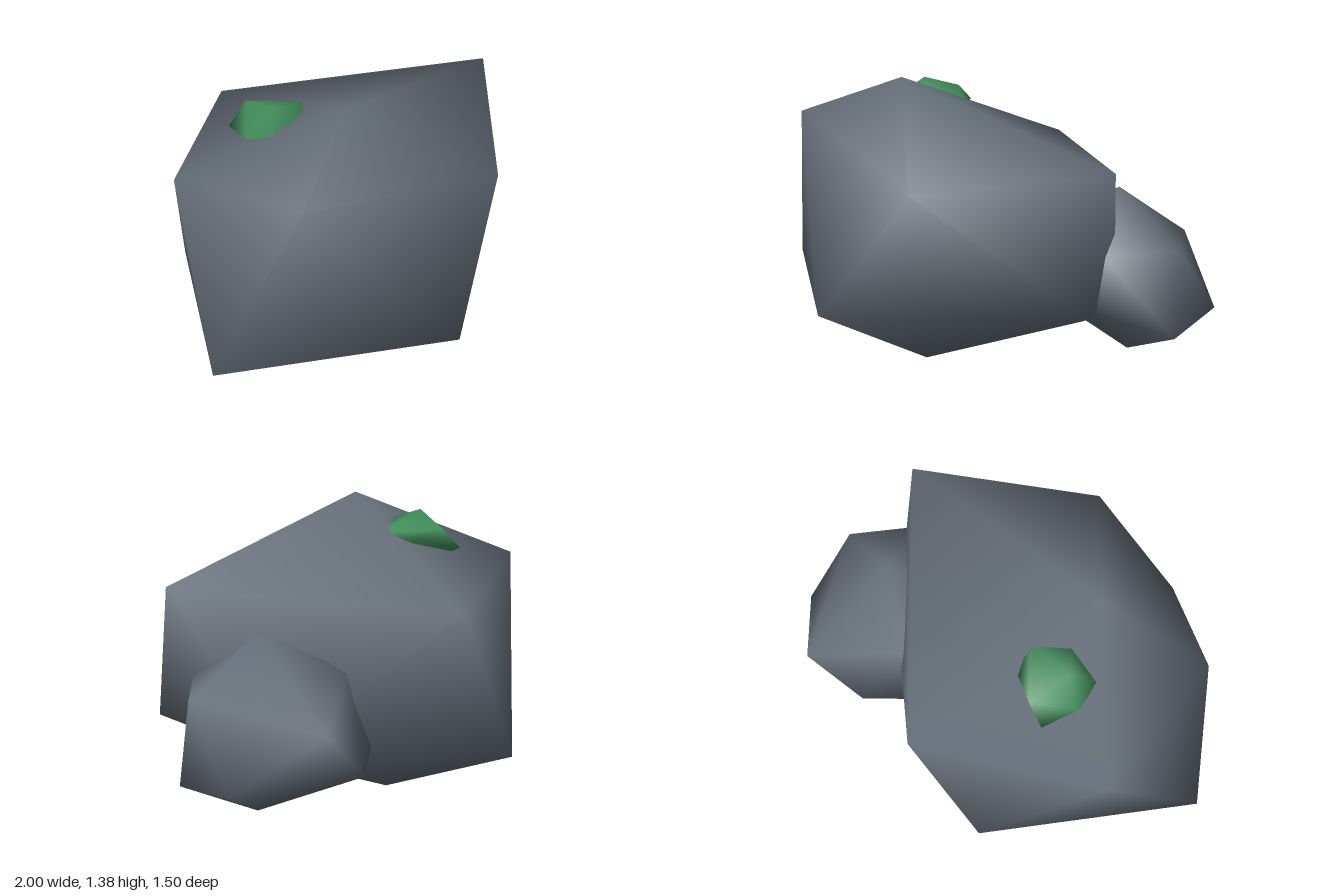
import * as THREE from 'three';

const stone = new THREE.MeshStandardMaterial({ color: 0x666f7a });
stone.name = 'slate grey stone';
const moss = new THREE.MeshStandardMaterial({ color: 0x428f5c });
moss.name = 'moss green';

// Irregular twenty-sided lump with smooth normals: a top point, two staggered
// rings of five (counter-clockwise from above) and a bottom point.
function lump(name, material, top, upper, lower, bottom) {
  const points = [top, ...upper, ...lower, bottom];
  const index = [];
  for (let i = 0; i < 5; i++) {
    const j = (i + 1) % 5;
    const u = 1 + i, uNext = 1 + j, l = 6 + i, lNext = 6 + j;
    index.push(0, u, uNext, u, l, uNext, l, lNext, uNext, 11, lNext, l);
  }
  const geometry = new THREE.BufferGeometry();
  geometry.setAttribute('position', new THREE.Float32BufferAttribute(points.flat(), 3));
  geometry.setIndex(index);
  geometry.computeVertexNormals();
  const mesh = new THREE.Mesh(geometry, material);
  mesh.name = name;
  return mesh;
}

export function createModel() {
  const group = new THREE.Group();
  group.name = 'mossyRocks';

  // Large boulder
  group.add(lump('largeBoulder', stone,
    [-0.24, 1.385, 0.16],
    [[0.84, 1.11, 0.12], [-0.02, 1.02, -0.75], [-0.76, 1.11, -0.33], [-0.71, 1.2, 0.31], [0.19, 1.02, 0.63]],
    [[0.61, 0.42, -0.28], [-0.37, 0.31, -0.72], [-1, 0.42, 0.05], [-0.22, 0.45, 0.745], [0.8, 0.52, 0.26]],
    [-0.27, 0, -0.03]));

  // Small rock leaning into its side
  group.add(lump('smallRock', stone,
    [0.64, 0.95, -0.24],
    [[0.97, 0.73, -0.2], [0.7, 0.65, -0.73], [0.33, 0.78, -0.42], [0.33, 0.75, -0.03], [0.76, 0.73, 0.06]],
    [[1, 0.41, -0.48], [0.45, 0.41, -0.66], [0.22, 0.43, -0.45], [0.6, 0.53, 0.16], [0.99, 0.36, -0.15]],
    [0.69, 0.21, -0.27]));

  // Moss clump sunk into the top
  group.add(lump('mossClump', moss,
    [-0.36, 1.33, -0.14],
    [[-0.12, 1.25, -0.13], [-0.31, 1.27, -0.33], [-0.46, 1.21, -0.2], [-0.45, 1.25, -0.07], [-0.26, 1.28, -0.03]],
    [[-0.19, 1.23, -0.27], [-0.4, 1.18, -0.35], [-0.42, 1.13, -0.12], [-0.33, 1.14, -0.06], [-0.18, 1.15, -0.08]],
    [-0.28, 1.08, -0.18]));

  return group;
}
